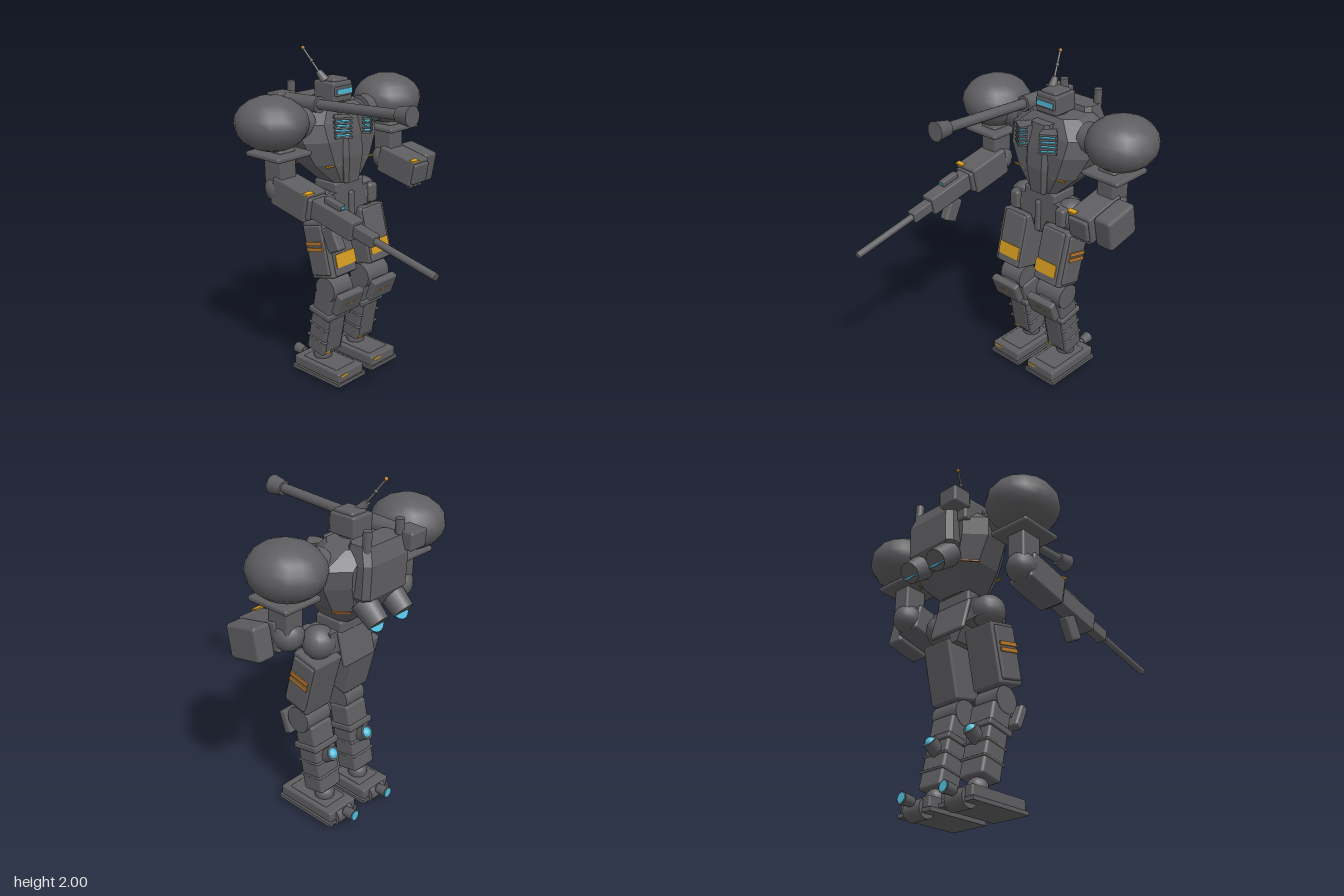
import * as THREE from 'three';
import { RoundedBoxGeometry } from 'three/addons/geometries/RoundedBoxGeometry.js';

const paint = (name, color) => {
  const m = new THREE.MeshStandardMaterial({ color });
  m.name = name;
  return m;
};

export function createModel() {
  const grey = paint('armour grey', 0x5e5e61);
  const amber = paint('marking amber', 0xd29a1e);
  const copper = paint('stripe copper', 0xb8772e);
  const cyan = paint('glow cyan', 0x4fb9d8);

  const add = (parent, name, geo, mat, x = 0, y = 0, z = 0, rx = 0, ry = 0) => {
    const m = new THREE.Mesh(geo, mat);
    m.name = name;
    m.position.set(x, y, z);
    m.rotation.set(rx, ry, 0);
    parent.add(m);
    return m;
  };
  const group = (parent, name, x = 0, y = 0, z = 0, rx = 0, ry = 0) => {
    const g = new THREE.Group();
    g.name = name;
    g.position.set(x, y, z);
    g.rotation.set(rx, ry, 0);
    parent.add(g);
    return g;
  };
  const box = (w, h, d) => new THREE.BoxGeometry(w, h, d);
  const plate = (w, h, d, r = 0.012) => new RoundedBoxGeometry(w, h, d, 1, r);
  const ball = (r) => new THREE.SphereGeometry(r, 16, 10);

  // round bar from point a to point b
  const rod = (parent, name, a, b, r0, r1 = r0, mat = grey) => {
    const p = new THREE.Vector3(...a), q = new THREE.Vector3(...b);
    const d = q.clone().sub(p);
    const m = add(parent, name, new THREE.CylinderGeometry(r1, r0, d.length(), 14), mat);
    m.position.copy(p.add(q).multiplyScalar(0.5));
    m.quaternion.setFromUnitVectors(new THREE.Vector3(0, 1, 0), d.normalize());
    return m;
  };

  // faceted hull through chamfered sections [y, halfWidth, zBack, zFront, chamfer]
  const hull = (sections) => {
    const rings = sections.map(([y, w, b, f, c]) => [
      [w, b + c], [w, f - c], [w - c, f], [c - w, f], [-w, f - c], [-w, b + c], [c - w, b], [w - c, b],
    ].map(([x, z]) => [x, y, z]));
    const v = [];
    const tri = (...p) => p.forEach((q) => v.push(...q));
    for (let k = 0; k + 1 < rings.length; k++) {
      for (let i = 0; i < 8; i++) {
        const j = (i + 1) % 8, lo = rings[k], hi = rings[k + 1];
        tri(lo[i], hi[i], lo[j]);
        tri(lo[j], hi[i], hi[j]);
      }
    }
    const bot = rings[0], top = rings[rings.length - 1];
    for (let i = 1; i < 7; i++) {
      tri(bot[0], bot[i], bot[i + 1]);
      tri(top[0], top[i + 1], top[i]);
    }
    const g = new THREE.BufferGeometry();
    g.setAttribute('position', new THREE.Float32BufferAttribute(v, 3));
    g.computeVertexNormals();
    return g;
  };

  const root = new THREE.Group();
  root.name = 'walker';
  const body = group(root, 'body', -0.004, 0, 0);

  // torso
  add(body, 'torso', hull([
    [1.24, 0.1, -0.46, -0.27, 0.03], [1.36, 0.22, -0.56, -0.25, 0.08], [1.5, 0.29, -0.58, -0.245, 0.1],
    [1.6, 0.3, -0.59, -0.27, 0.1], [1.66, 0.22, -0.59, -0.31, 0.08], [1.69, 0.17, -0.58, -0.33, 0.06]]), grey);
  add(body, 'chestColumn', hull([
    [1.24, 0.06, -0.35, -0.24, 0.02], [1.4, 0.08, -0.35, -0.22, 0.025],
    [1.52, 0.08, -0.35, -0.225, 0.025], [1.66, 0.065, -0.38, -0.25, 0.02]]), grey);
  for (const s of [-1, 1]) {
    const vent = group(body, 'chestVent', s * 0.092, 1.58, -0.235, 0, s * 0.6);
    add(vent, 'ventBack', box(0.08, 0.12, 0.05), grey, 0, 0, -0.025);
    for (let i = 0; i < 5; i++) {
      const y = -0.054 + i * 0.027;
      add(vent, 'ventSlat', box(0.1, 0.012, 0.05), grey, 0, y, 0.015);
      if (i < 4) add(vent, 'ventGlow', box(0.08, 0.004, 0.038), cyan, 0, y + 0.008, 0.015);
    }
    add(body, 'chestMark', box(0.09, 0.008, 0.008), amber, s * 0.15, 1.357, -0.262, 0, s * 0.2);
    add(body, 'flankMark', box(0.008, 0.008, 0.1), copper, s * 0.195, 1.357, -0.52, 0, s * 0.75);
    rod(body, 'shoulderJoint', [s * 0.22, 1.6, -0.4], [s * 0.36, 1.6, -0.4], 0.09);
  }

  // backpack with posts and main thrusters
  add(body, 'backpack', hull([
    [1.36, 0.1, -0.6, -0.48, 0.03], [1.45, 0.17, -0.655, -0.48, 0.03],
    [1.63, 0.17, -0.66, -0.48, 0.03], [1.72, 0.15, -0.63, -0.5, 0.03]]), grey);
  for (const s of [-1, 1]) {
    rod(body, 'backPost', [s * 0.125, 1.6, -0.61], [s * 0.125, 1.8, -0.61], 0.024);
    rod(body, 'thrusterNozzle', [s * 0.1, 1.41, -0.58], [s * 0.1, 1.32, -0.685], 0.072, 0.06);
    add(body, 'thrusterGlow', new THREE.CylinderGeometry(0.058, 0.058, 0.006, 20), cyan,
      s * 0.1, 1.325, -0.658, -0.94);
  }

  // head
  add(body, 'neck', new THREE.CylinderGeometry(0.06, 0.075, 0.1, 12), grey, -0.002, 1.69, -0.4);
  add(body, 'head', plate(0.15, 0.115, 0.165), grey, -0.002, 1.755, -0.395);
  add(body, 'headCap', plate(0.115, 0.04, 0.13), grey, 0, 1.81, -0.39);
  add(body, 'visorFrame', plate(0.136, 0.055, 0.02, 0.006), grey, -0.002, 1.76, -0.313);
  add(body, 'visor', box(0.118, 0.027, 0.006), cyan, -0.002, 1.76, -0.301);
  rod(body, 'antennaBase', [-0.045, 1.81, -0.41], [-0.06, 1.86, -0.45], 0.03, 0.018);
  rod(body, 'antennaRod', [-0.058, 1.85, -0.44], [-0.096, 1.985, -0.53], 0.007);
  add(body, 'antennaKnuckle', ball(0.012), grey, -0.077, 1.92, -0.487);
  add(body, 'antennaTip', ball(0.011), copper, -0.096, 1.989, -0.533);

  // shoulder cannon
  const cannon = group(body, 'shoulderCannon', -0.181, 1.708, -0.3, -0.05);
  add(cannon, 'breech', plate(0.125, 0.1, 0.12), grey, 0, 0, -0.335);
  rod(cannon, 'sleeve', [0, 0, -0.36], [0, 0, -0.02], 0.05, 0.046);
  rod(cannon, 'barrel', [0, 0, -0.02], [0, 0, 0.57], 0.029);
  rod(cannon, 'muzzle', [0, 0, 0.56], [0, 0, 0.65], 0.042, 0.056);
  add(body, 'cannonMount', plate(0.1, 0.12, 0.14), grey, -0.18, 1.64, -0.53);

  // arms
  for (const s of [-1, 1]) {
    const shell = add(body, 'shoulderShell', ball(1), grey, s * 0.467, 1.64, -0.4);
    shell.scale.set(0.2, 0.152, 0.213);
    add(body, 'shoulderFlange', plate(0.25, 0.03, 0.27), grey, s * 0.45, 1.475, -0.37);
    add(body, 'upperArm', plate(0.115, 0.25, 0.14), grey, s * 0.445, 1.38, -0.37);
    add(body, 'elbow', ball(0.085), grey, s * 0.44, 1.275, -0.385);
    const arm = group(body, 'forearm', s * 0.435, 1.285, -0.38, 0.21);
    add(arm, 'forearmShell', plate(0.155, 0.165, 0.27), grey, 0, -0.005, 0.14);
    add(arm, 'forearmCuff', plate(0.13, 0.13, 0.03), grey, 0, -0.005, 0.28);
    add(arm, 'forearmMark', box(0.055, 0.01, 0.03), amber, -0.05, 0.079, 0.262);
    if (s > 0) {
      add(arm, 'armPod', plate(0.115, 0.19, 0.22, 0.02), grey, 0.135, -0.015, 0.14);
      for (let i = 0; i < 3; i++) {
        add(arm, 'finger', plate(0.035, 0.05, 0.05), grey, -0.04 + i * 0.04, -0.08, 0.25);
      }
    } else {
      // rifle
      const gun = group(arm, 'rifle', -0.002, 0, 0);
      add(gun, 'receiver', plate(0.09, 0.11, 0.36, 0.008), grey, 0, 0, 0.41);
      add(gun, 'handguard', plate(0.06, 0.065, 0.14, 0.006), grey, 0, 0, 0.655);
      rod(gun, 'rifleBarrel', [0, 0, 0.7], [0, 0, 1.13], 0.02);
      add(gun, 'sight', plate(0.04, 0.035, 0.12, 0.006), grey, 0, 0.075, 0.41);
      add(gun, 'sightLens', box(0.026, 0.018, 0.006), cyan, 0, 0.077, 0.473);
      add(gun, 'magazine', plate(0.06, 0.14, 0.09), grey, 0, -0.125, 0.44, -0.66);
    }
  }

  // waist and hips
  add(body, 'waist', new THREE.CylinderGeometry(0.09, 0.09, 0.12, 12), grey, 0, 1.24, -0.36);
  add(body, 'hipBlock', plate(0.235, 0.07, 0.18), grey, 0, 1.21, -0.36);
  const pelvis = new THREE.Shape([[-0.175, 1.19], [-0.175, 1.07], [-0.06, 1.06], [-0.02, 0.97], [0.02, 0.97],
    [0.06, 1.06], [0.175, 1.07], [0.175, 1.19]].map(([x, y]) => new THREE.Vector2(x, y)));
  add(body, 'pelvis', new THREE.ExtrudeGeometry(pelvis, { depth: 0.16, bevelEnabled: false }), grey, 0, 0, -0.43);
  add(body, 'frontSkirt', plate(0.035, 0.2, 0.03), grey, 0, 1.08, -0.262);
  add(body, 'rearSkirt', plate(0.25, 0.2, 0.025), grey, 0, 1.09, -0.46, 0.25);

  // legs
  for (const s of [-1, 1]) {
    const leg = group(body, 'leg', s * 0.146, 0, 0);
    add(leg, 'hipBall', ball(0.095), grey, s * 0.03, 1.12, -0.35);
    add(leg, 'hipArmour', plate(0.07, 0.12, 0.1, 0.02), grey, s * 0.03, 1.13, -0.29);

    const thigh = group(leg, 'thigh', s * 0.012, 0.87, -0.292, -0.235);
    add(thigh, 'thighShell', plate(0.2, 0.345, 0.18, 0.015), grey);
    add(thigh, 'thighFront', plate(0.165, 0.33, 0.03), grey, -s * 0.008, 0, 0.088);
    add(thigh, 'thighSide', plate(0.03, 0.3, 0.15), grey, s * 0.098, 0, 0);
    add(thigh, 'thighPanel', box(0.155, 0.08, 0.007), amber, -s * 0.012, -0.075, 0.104);
    for (const y of [0.01, 0.045]) {
      add(thigh, 'thighStripe', box(0.009, 0.022, 0.13), copper, s * 0.116, y, 0);
    }

    rod(leg, 'knee', [-0.085, 0.62, -0.265], [0.085 + s * 0.015, 0.62, -0.265], 0.078);
    add(leg, 'kneePad', plate(0.2, 0.14, 0.05), grey, 0, 0.555, -0.16, 0.38);
    add(leg, 'kneeLink', box(0.1, 0.05, 0.12), grey, 0, 0.58, -0.21);
    add(leg, 'kneeMark', box(0.08, 0.008, 0.006), copper, 0, 0.55, -0.137, 0.38);

    const shin = group(leg, 'shin', 0, 0.38, -0.33, 0.205);
    add(shin, 'shinShell', plate(0.165, 0.42, 0.14, 0.015), grey);
    add(shin, 'shinFront', plate(0.12, 0.24, 0.02, 0.008), grey, 0, -0.06, 0.07);
    for (const [y, w] of [[0.075, 0.19], [-0.02, 0.175], [-0.11, 0.175]]) {
      add(shin, 'shinBand', plate(w, y > 0 ? 0.034 : 0.014, w - 0.02, 0.006), grey, 0, y, 0);
    }
    add(shin, 'shinMark', box(0.04, 0.014, 0.008), amber, -0.045, -0.185, 0.073);
    rod(leg, 'calfThruster', [0, 0.37, -0.36], [0, 0.435, -0.445], 0.038, 0.042);
    add(leg, 'calfGlow', ball(0.035), cyan, 0, 0.425, -0.433);

    add(leg, 'ankle', ball(0.058), grey, 0, 0.135, -0.385);
    add(leg, 'foot', plate(0.215, 0.065, 0.39), grey, 0, 0.079, -0.335);
    add(leg, 'footTop', plate(0.16, 0.02, 0.28, 0.006), grey, 0, 0.11, -0.33);
    add(leg, 'sole', box(0.235, 0.022, 0.4), grey, 0, 0.038, -0.335);
    add(leg, 'footMark', box(0.06, 0.012, 0.008), amber, -0.065, 0.093, -0.141);
    rod(leg, 'heelRoller', [-0.06, 0.055, -0.5], [0.06, 0.055, -0.5], 0.055);
    rod(leg, 'heelStem', [0, 0.07, -0.52], [0, 0.09, -0.56], 0.02);
    rod(leg, 'heelThruster', [0, 0.088, -0.55], [0, 0.093, -0.618], 0.028, 0.034);
    rod(leg, 'heelGlow', [0, 0.093, -0.616], [0, 0.0935, -0.622], 0.027, 0.027, cyan);
  }

  return root;
}
